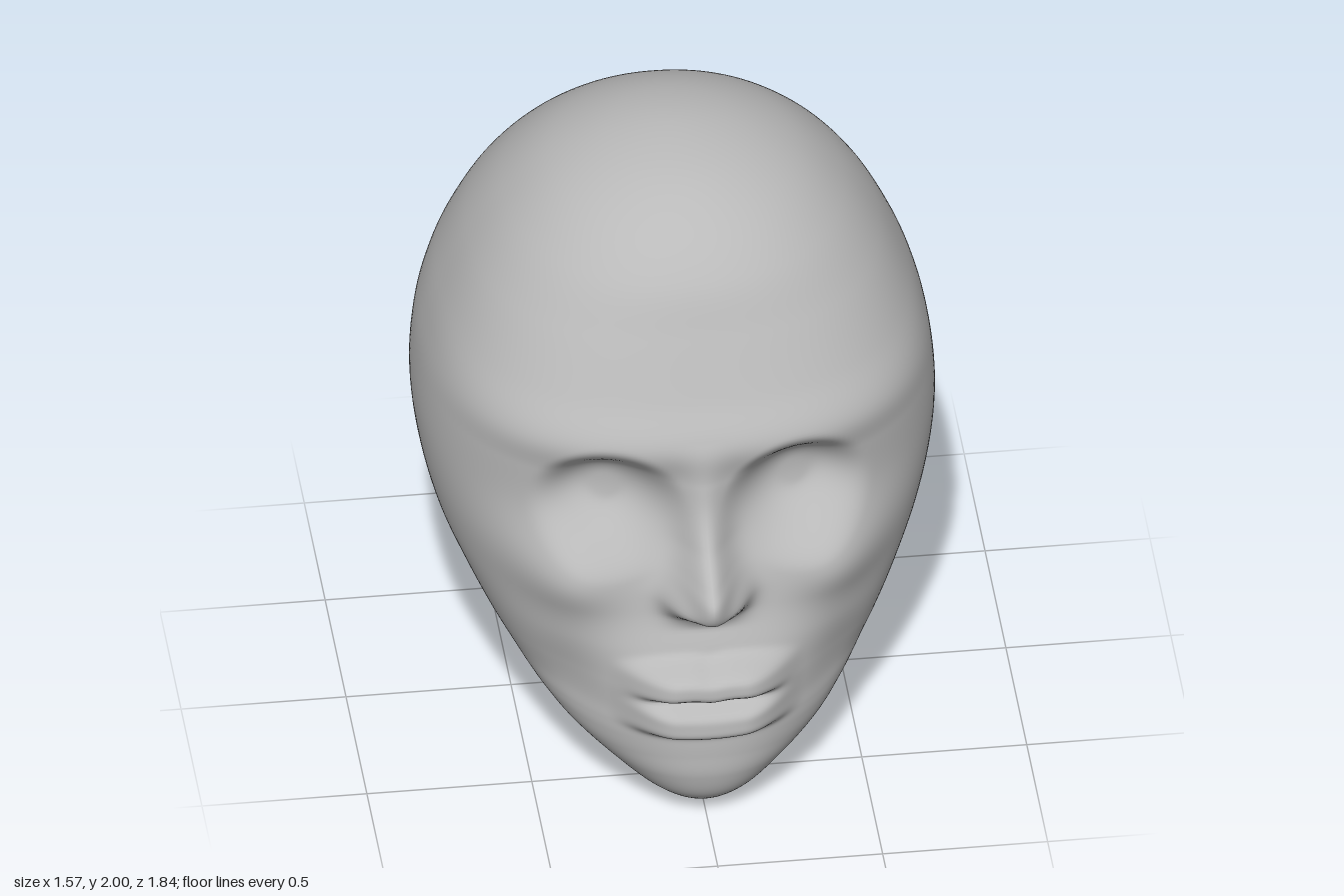
import * as THREE from 'three';

// Head sections from chin to crown:
// height, half width, front z, back z, z of widest point, front and back roundness
const SECTIONS = [
  [0, 0, 0.58, 0.58, 0.58, 2, 2],
  [0.025, 0.1, 0.68, 0.44, 0.55, 2, 2],
  [0.09, 0.21, 0.76, 0.28, 0.48, 2.1, 1.9],
  [0.18, 0.325, 0.795, 0.11, 0.4, 2.15, 1.8],
  [0.26, 0.42, 0.8, -0.02, 0.34, 2.15, 1.7],
  [0.32, 0.475, 0.8, -0.17, 0.29, 2.15, 1.62],
  [0.365, 0.51, 0.795, -0.35, 0.25, 2.15, 1.58],
  [0.42, 0.55, 0.79, -0.49, 0.2, 2.1, 1.6],
  [0.51, 0.61, 0.785, -0.62, 0.12, 2.1, 1.68],
  [0.62, 0.67, 0.775, -0.73, 0.05, 2.1, 1.8],
  [0.75, 0.73, 0.73, -0.815, -0.02, 2.15, 2],
  [0.9, 0.77, 0.69, -0.875, -0.08, 2.3, 2.15],
  [1.05, 0.785, 0.665, -0.91, -0.1, 2.4, 2.25],
  [1.2, 0.775, 0.675, -0.92, -0.1, 2.45, 2.25],
  [1.32, 0.75, 0.69, -0.9, -0.1, 2.5, 2.25],
  [1.45, 0.705, 0.62, -0.855, -0.1, 2.45, 2.25],
  [1.62, 0.622, 0.535, -0.765, -0.1, 2.35, 2.2],
  [1.77, 0.513, 0.455, -0.635, -0.09, 2.2, 2.15],
  [1.89, 0.375, 0.325, -0.475, -0.08, 2.1, 2.1],
  [1.97, 0.2, 0.15, -0.29, -0.08, 2, 2],
  [2, 0, -0.08, -0.08, -0.08, 2, 2],
];

// Nose height above the face, as (y, height) points
const NOSE = [[0.7, 0], [0.75, 0.045], [0.78, 0.11], [0.82, 0.195], [0.88, 0.228],
  [0.92, 0.205], [1.0, 0.125], [1.1, 0.065], [1.2, 0.03], [1.34, 0]];

const smooth = THREE.MathUtils.smoothstep;
const bell = (v, centre, width) => Math.exp(-(((v - centre) / width) ** 2));
const plateau = (v, centre, width) => Math.exp(-(((v - centre) / width) ** 4));

function catmull(a, b, c, d, t) {
  return 0.5 * (2 * b + (c - a) * t + (2 * a - 5 * b + 4 * c - d) * t * t + (3 * b - a - 3 * c + d) * t ** 3);
}

// Section at a fractional index; the ends are mirrored so the poles stay round
function sectionAt(f) {
  const last = SECTIONS.length - 1;
  const mirror = ([y, w, zf, zb, ...rest]) => [y, -w, zb, zf, ...rest];
  const row = i => (i < 0 ? mirror(SECTIONS[1]) : i > last ? mirror(SECTIONS[last - 1]) : SECTIONS[i]);
  const i = Math.min(Math.floor(f), last - 1);
  const [a, b, c, d] = [row(i - 1), row(i), row(i + 1), row(i + 2)];
  return b.map((v, k) => catmull(a[k], v, c[k], d[k], f - i));
}

function noseHeight(y) {
  for (let i = 0; i < NOSE.length - 1; i++) {
    const [y0, h0] = NOSE[i], [y1, h1] = NOSE[i + 1];
    if (y >= y0 && y <= y1) {
      const before = (NOSE[i - 1] ?? NOSE[i])[1], after = (NOSE[i + 2] ?? NOSE[i + 1])[1];
      return Math.max(0, catmull(before, h0, h1, after, (y - y0) / (y1 - y0)));
    }
  }
  return 0;
}

// Forward displacement that shapes the face
function faceRelief(x, y) {
  const ax = Math.abs(x);
  let dz = 0;

  // Eye sockets: crisp under the brow, soft toward the cheek
  const r = Math.hypot((ax - 0.285) / 0.22, (y - 1.1) / 0.215);
  const crisp = smooth(y, 0.95, 1.25);
  dz -= 0.105 * (1 - smooth(r, 0.35 * crisp, 1.15 - 0.1 * crisp));
  dz += 0.015 * bell(ax, 0.3, 0.13) * bell(y, 1.02, 0.09);

  // Nose: narrow bridge, rounded tip and nostril wings
  const width = 0.065 + 0.03 * (1 - smooth(y, 0.82, 1.0));
  dz += noseHeight(y) * bell(ax, 0, width);
  dz += 0.04 * bell(ax, 0.09, 0.045) * bell(y, 0.81, 0.05);

  // Lips, parted by the mouth line
  const span = 1 - smooth(ax, 0.1, 0.3);
  const bow = 0.555 - 0.008 * bell(ax, 0, 0.04) - 0.3 * ax * ax;
  dz += 0.098 * span * plateau(y, bow, 0.055);
  dz += 0.078 * span * plateau(y, 0.41 + 0.25 * ax * ax, 0.06);
  dz += 0.015 * bell(ax, 0.2, 0.1) * bell(y, 0.48, 0.12);

  // Broad cheeks, with hollows beside the mouth
  dz += 0.08 * bell(ax, 0.42, 0.17) * bell(y, 0.85, 0.14);
  dz -= 0.03 * bell(ax, 0.42, 0.1) * bell(y, 0.45, 0.15);
  return dz;
}

function headGeometry(rows, columns) {
  const position = [], index = [];
  for (let i = 0; i <= rows; i++) {
    const [y, w, zf, zb, zw, nf, nb] = sectionAt((i / rows) * (SECTIONS.length - 1));
    for (let j = 0; j < columns; j++) {
      // Columns are packed closer together on the face
      const u = (j / columns) * Math.PI * 2;
      const angle = u - 0.4 * Math.sin(u);
      const s = Math.sin(angle), c = Math.cos(angle);
      const n = c > 0 ? nf : nb;
      const radius = (Math.abs(s) ** n + Math.abs(c) ** n) ** (-1 / n);
      const x = w * s * radius;
      const z = zw + (c > 0 ? zf - zw : zw - zb) * c * radius;
      position.push(x, y, z + smooth(c, 0.1, 0.6) * faceRelief(x, y));
      if (i === rows) continue;
      const k = (j + 1) % columns, a = i * columns, b = a + columns;
      if (i > 0) index.push(a + j, a + k, b + k);
      if (i < rows - 1) index.push(a + j, b + k, b + j);
    }
  }
  const geometry = new THREE.BufferGeometry();
  geometry.setAttribute('position', new THREE.Float32BufferAttribute(position, 3));
  geometry.setIndex(index);
  geometry.computeVertexNormals();
  return geometry;
}

export function createModel() {
  const group = new THREE.Group();
  group.name = 'headModel';
  const clay = new THREE.MeshStandardMaterial({ color: 0xb9b9b9 });
  clay.name = 'greyClay';
  const head = new THREE.Mesh(headGeometry(260, 220), clay);
  head.name = 'head';
  group.add(head);
  return group;
}
